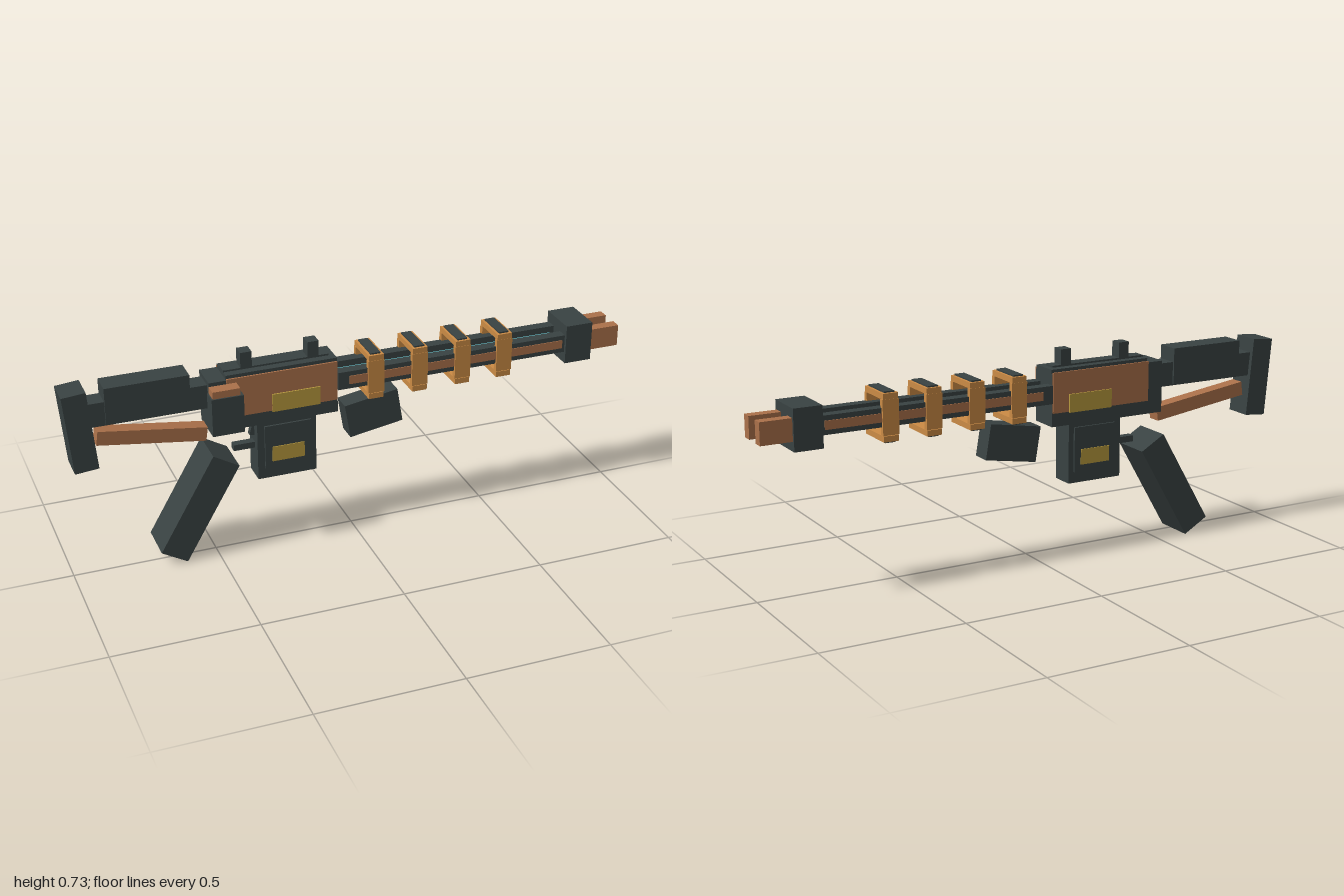
import * as THREE from 'three';

export function createModel() {
  const group = new THREE.Group();
  group.name = 'railRifle';
  const mat = (name, color) => {
    const m = new THREE.MeshStandardMaterial({ color });
    m.name = name;
    return m;
  };
  const dark = mat('gunmetal', 0x394242);
  const copper = mat('copper', 0xab714a);
  const orange = mat('brightCopper', 0xcb8b45);
  const gold = mat('gold', 0xb89a3e);
  const teal = mat('teal', 0x5fc0ca);
  const ZC = -0.022; // centre plane of the rifle

  // box given by its limits in x and y, and its half depth about the centre plane
  const block = (name, m, x0, x1, y0, y1, half, dz = 0) => {
    const mesh = new THREE.Mesh(new THREE.BoxGeometry(x1 - x0, y1 - y0, half * 2), m);
    mesh.name = name;
    mesh.position.set((x0 + x1) / 2, (y0 + y1) / 2, ZC + dz);
    group.add(mesh);
    return mesh;
  };
  // box given by centre and size, tilted about z
  const tilted = (name, m, x, y, w, h, half, angle) => {
    const mesh = block(name, m, x - w / 2, x + w / 2, y - h / 2, y + h / 2, half);
    mesh.rotation.z = angle;
    return mesh;
  };

  // stock, brace and butt
  tilted('buttPlate', dark, -0.943, 0.547, 0.082, 0.282, 0.05, 0.09);
  block('stockTube', dark, -0.92, -0.42, 0.555, 0.64, 0.035);
  block('stockBody', dark, -0.855, -0.57, 0.56, 0.69, 0.042);
  tilted('stockBrace', copper, -0.7, 0.48, 0.375, 0.05, 0.025, -0.14);

  // receiver
  block('receiver', dark, -0.51, -0.06, 0.47, 0.655, 0.055);
  block('receiverTop', dark, -0.45, -0.06, 0.655, 0.67, 0.05);
  block('topRail', dark, -0.45, -0.08, 0.67, 0.676, 0.022);
  for (const x of [-0.37, -0.135]) block('sight', dark, x - 0.02, x + 0.02, 0.66, 0.73, 0.022);
  block('sideBox', dark, -0.52, -0.41, 0.49, 0.625, 0.027, 0.092);
  block('sideBoxCap', copper, -0.515, -0.42, 0.625, 0.65, 0.022, 0.092);

  // magazine, trigger, grip and foregrip
  block('magazine', dark, -0.345, -0.135, 0.255, 0.48, 0.043);
  block('triggerBar', dark, -0.42, -0.34, 0.364, 0.386, 0.014);
  tilted('trigger', dark, -0.345, 0.44, 0.02, 0.06, 0.01, -0.25);
  tilted('grip', dark, -0.5625, 0.197, 0.104, 0.389, 0.0735, -0.526);
  tilted('foregrip', dark, 0.08, 0.4275, 0.196, 0.125, 0.036, 0.165);

  // barrel core, rails, prongs and panels, mirrored on both sides
  block('energyCore', teal, -0.06, 0.77, 0.575, 0.597, 0.018);
  for (const s of [1, -1]) {
    block('receiverPanel', copper, -0.45, -0.062, 0.518, 0.66, 0.003, s * 0.057);
    block('receiverPlate', gold, -0.295, -0.125, 0.515, 0.58, 0.003, s * 0.062);
    block('magazinePanel', dark, -0.32, -0.155, 0.295, 0.455, 0.004, s * 0.046);
    block('magazinePlate', gold, -0.295, -0.18, 0.32, 0.375, 0.002, s * 0.051);
    block('barrelRail', dark, -0.06, 0.8, 0.553, 0.617, 0.019, s * 0.043);
    block('railStrip', copper, -0.02, 0.78, 0.57, 0.6, 0.002, s * 0.063);
    block('muzzleProng', copper, 0.88, 1.0, 0.546, 0.623, 0.0185, s * 0.046);
  }
  block('muzzleBlock', dark, 0.79, 0.89, 0.513, 0.655, 0.0735);

  // coil rings: open frames with dark caps
  for (const x of [0.075, 0.235, 0.395, 0.552]) {
    for (const s of [1, -1]) {
      block('ringSide', orange, x - 0.029, x + 0.029, 0.525, 0.645, 0.009, s * 0.061);
      const y = 0.584 + s * 0.071;
      block('ringBar', orange, x - 0.027, x + 0.027, y - 0.01, y + 0.01, 0.069);
      const c = 0.584 + s * 0.083;
      block('ringCap', dark, x - 0.018, x + 0.018, c - 0.003, c + 0.003, 0.06);
    }
  }
  return group;
}
